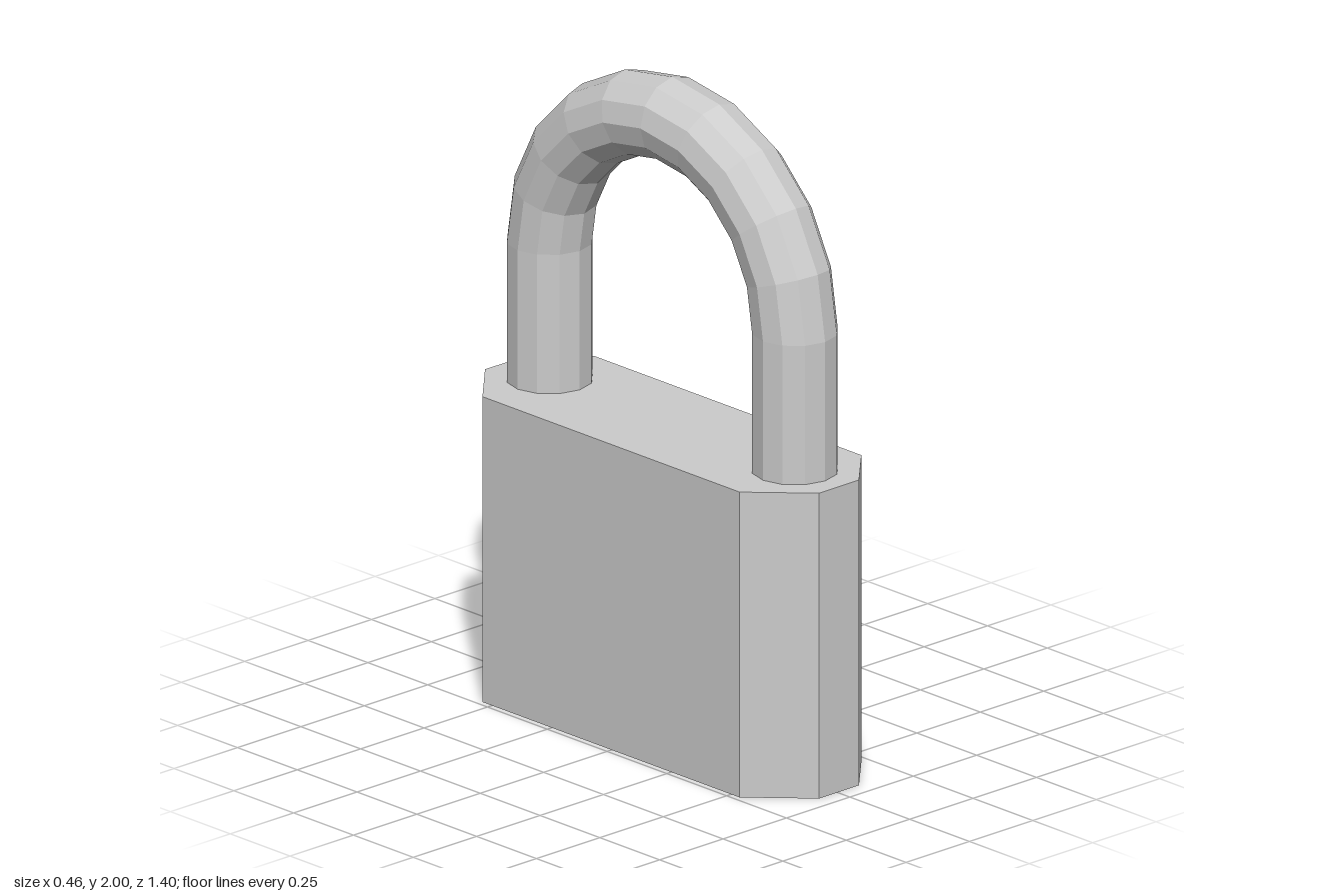
import * as THREE from 'three';

const BODY_HEIGHT = 0.935;
const ARCH_Y = 1.36;      // where the straight legs meet the arch
const ARCH_RADIUS = 0.513;
const BAR_RADIUS = 0.126;
const SIDES = 12;

export function createModel() {
  const group = new THREE.Group();
  group.name = 'padlock';
  const material = new THREE.MeshStandardMaterial({ color: 0xcccccc, flatShading: true });

  const add = (parent, geometry, name) => {
    const mesh = new THREE.Mesh(geometry, material);
    mesh.name = name;
    parent.add(mesh);
    return mesh;
  };

  // Body: slab with chamfered corners, outline in (x, -z), extruded upwards
  const outline = [
    [0.23, -0.555], [0.23, 0.56], [0.085, 0.698], [-0.073, 0.698],
    [-0.232, 0.54], [-0.232, -0.535], [-0.073, -0.698], [0.085, -0.698],
  ].map(([x, y]) => new THREE.Vector2(x, y));
  const bodyGeometry = new THREE.ExtrudeGeometry(new THREE.Shape(outline), {
    depth: BODY_HEIGHT, bevelEnabled: false,
  });
  bodyGeometry.rotateX(-Math.PI / 2);
  add(group, bodyGeometry, 'body');

  // Shackle: half-ring arch on two straight legs
  const shackle = new THREE.Group();
  shackle.name = 'shackle';
  shackle.position.set(0.009, 0, -0.002);
  group.add(shackle);

  const arch = new THREE.TorusGeometry(ARCH_RADIUS, BAR_RADIUS, SIDES, 10, Math.PI);
  arch.rotateY(Math.PI / 2);
  add(shackle, arch, 'shackleArch').position.y = ARCH_Y;

  const legBottom = BODY_HEIGHT - 0.02;
  const legLength = ARCH_Y - legBottom;
  for (const side of [1, -1]) {
    const leg = new THREE.CylinderGeometry(BAR_RADIUS, BAR_RADIUS, legLength, SIDES, 1, true);
    add(shackle, leg, side > 0 ? 'frontLeg' : 'backLeg')
      .position.set(0, legBottom + legLength / 2, side * ARCH_RADIUS);
  }

  return group;
}
